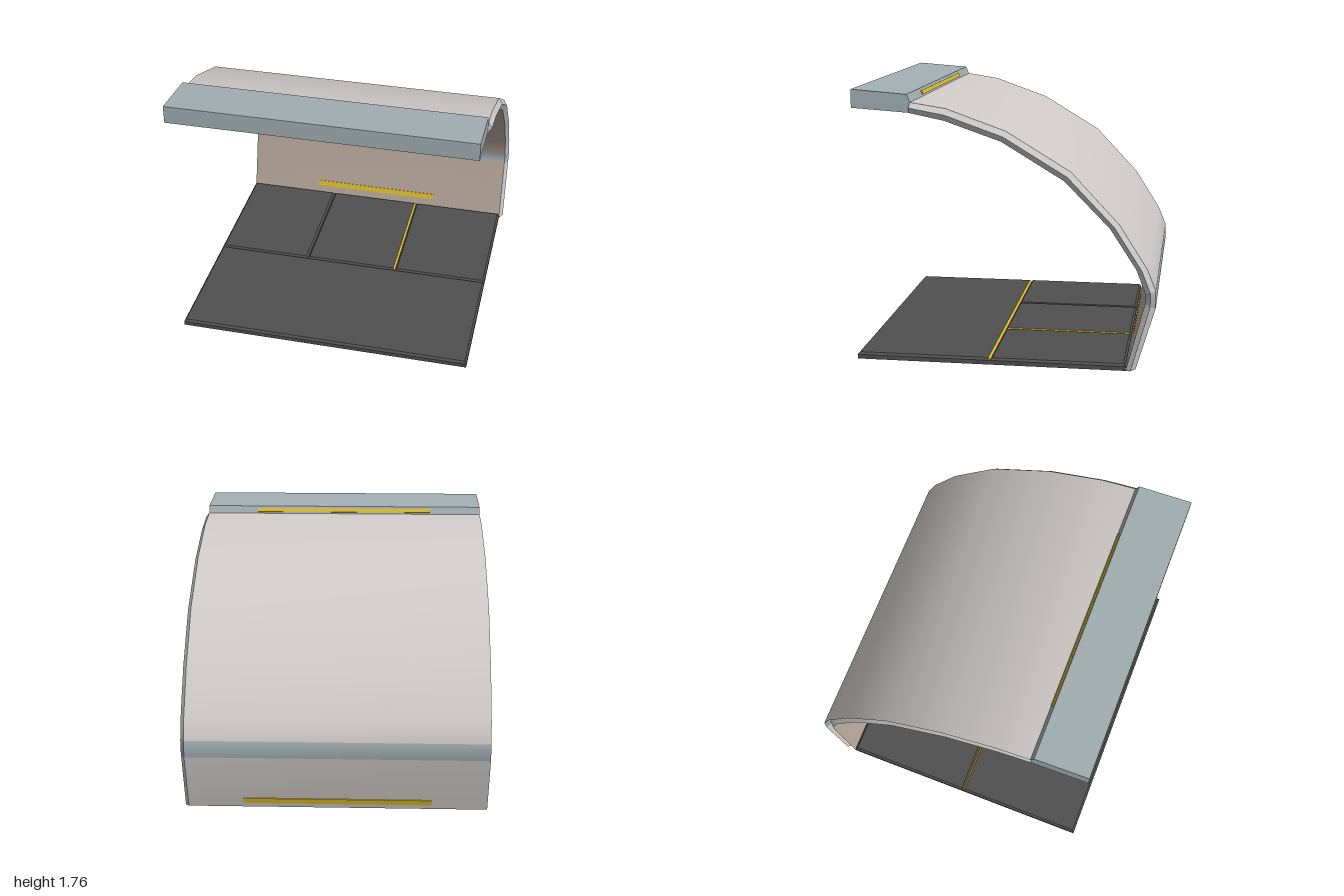
import * as THREE from 'three';

const mat = (color, side = THREE.FrontSide) => new THREE.MeshStandardMaterial({ color, side });
const outerMat = mat(0xd0cbc8);
const innerMat = mat(0xb5a699);
const edgeMat = mat(0xc2c0be, THREE.DoubleSide);
const steelMat = mat(0xa3afb3);
const floorMat = mat(0x505050);
const yellowMat = mat(0xdcbc28);

const X0 = -1, X1 = 0.975, MID = (X0 + X1) / 2;

// Shell side profile as [z, y], from the canopy down the back to the floor
const outer = [[0.585, 1.685], [0.36, 1.65], [-0.02, 1.515], [-0.425, 1.27], [-0.73, 0.945],
  [-0.907, 0.667], [-0.963, 0.53], [-0.963, 0.415], [-0.845, 0.015]];
const inner = [[0.6, 1.62], [0.375, 1.575], [0.013, 1.45], [-0.385, 1.21], [-0.67, 0.92],
  [-0.84, 0.66], [-0.897, 0.51], [-0.897, 0.445], [-0.781, 0.0]];
const middle = outer.map((p, i) => [(p[0] + inner[i][0]) / 2, (p[1] + inner[i][1]) / 2]);
const BAND = 6; // profile segment of the waist band

function addMesh(group, name, geometry, material) {
  const mesh = new THREE.Mesh(geometry, material);
  mesh.name = name;
  group.add(mesh);
  return mesh;
}

// Smooth sheet between two rows of points, split into upper, band and lower pieces
function addSheet(group, name, rowA, xA, rowB, xB, material) {
  const geo = new THREE.BufferGeometry();
  const pos = [], index = [];
  rowA.forEach((a, i) => {
    const b = rowB[i];
    pos.push(xA, a[1], a[0], xB, b[1], b[0]);
    if (i < rowA.length - 1) {
      const k = 2 * i;
      index.push(k, k + 1, k + 3, k, k + 3, k + 2);
    }
  });
  geo.setAttribute('position', new THREE.Float32BufferAttribute(pos, 3));
  geo.setIndex(index);
  geo.computeVertexNormals();
  const pieces = [['Upper', 0, BAND, material], ['Band', BAND, BAND + 1, steelMat],
    ['Lower', BAND + 1, rowA.length - 1, material]];
  for (const [suffix, from, to, m] of pieces) {
    addMesh(group, name + suffix, geo.clone().setIndex(index.slice(from * 6, to * 6)), m);
  }
}

// Closing face at one end of the shell section
function addCap(group, name, i) {
  const ring = [[X0 + 0.03, middle[i]], [X0, outer[i]], [X1, outer[i]], [1, middle[i]],
    [X1, inner[i]], [X0, inner[i]]];
  const geo = new THREE.BufferGeometry();
  geo.setAttribute('position', new THREE.Float32BufferAttribute(
    ring.flatMap(([x, p]) => [x, p[1], p[0]]), 3));
  geo.setIndex([0, 1, 2, 0, 2, 3, 0, 3, 4, 0, 4, 5]);
  addMesh(group, name, geo.toNonIndexed(), edgeMat).geometry.computeVertexNormals();
}

// Box whose top face is inset to give chamfered sides
function addPanel(group, name, x0, x1, z0, z1, yellowFace = -1) {
  const y0 = 0.028, y1 = 0.043, inset = 0.013;
  const geo = new THREE.BoxGeometry(x1 - x0, y1 - y0, z1 - z0);
  const p = geo.attributes.position;
  for (let i = 0; i < p.count; i++) {
    if (p.getY(i) > 0) {
      p.setX(i, p.getX(i) - Math.sign(p.getX(i)) * inset);
      p.setZ(i, p.getZ(i) - Math.sign(p.getZ(i)) * inset);
    }
  }
  geo.computeVertexNormals();
  const faces = Array.from({ length: 6 }, (_, i) => (i === yellowFace ? yellowMat : floorMat));
  addMesh(group, name, geo, faces).position.set((x0 + x1) / 2, (y0 + y1) / 2, (z0 + z1) / 2);
}

// Thin marker strip, tilted about x to lie on its surface
function addStrip(group, name, width, height, y, z, tilt) {
  const strip = addMesh(group, name, new THREE.BoxGeometry(width, height, 0.012), yellowMat);
  strip.position.set(MID, y, z);
  strip.rotation.x = tilt;
}

export function createModel() {
  const model = new THREE.Group();
  model.name = 'curvedWallSection';

  // Curved shell with a ridge on one end and a matching groove on the other
  const shell = new THREE.Group();
  shell.name = 'shell';
  addSheet(shell, 'outerSkin', outer, X0, outer, X1, outerMat);
  addSheet(shell, 'ridgeOuter', outer, X1, middle, 1, edgeMat);
  addSheet(shell, 'ridgeInner', middle, 1, inner, X1, edgeMat);
  addSheet(shell, 'innerSkin', inner, X1, inner, X0, innerMat);
  addSheet(shell, 'grooveInner', inner, X0, middle, X0 + 0.03, edgeMat);
  addSheet(shell, 'grooveOuter', middle, X0 + 0.03, outer, X0, edgeMat);
  addCap(shell, 'topCap', 0);
  addCap(shell, 'bottomCap', outer.length - 1);
  model.add(shell);

  // Canopy beam: side section extruded along x
  const section = new THREE.Shape([[0.965, 1.645], [0.965, 1.762], [0.607, 1.735],
    [0.585, 1.685], [0.6, 1.62]].map(([z, y]) => new THREE.Vector2(-z, y)));
  const beam = new THREE.ExtrudeGeometry(section, { depth: X1 - X0, bevelEnabled: false });
  beam.rotateY(Math.PI / 2).translate(X0, 0, 0);
  addMesh(model, 'canopyBeam', beam, steelMat);

  // Floor slab with chamfered panels
  const floor = new THREE.Group();
  floor.name = 'floor';
  const slab = addMesh(floor, 'slab', new THREE.BoxGeometry(X1 - X0, 0.028, 1.745), floorMat);
  slab.position.set(MID, 0.014, 0.0925);
  addPanel(floor, 'frontPanel', X0, X1, 0.09, 0.965, 5);
  const w = (X1 - X0) / 3;
  for (let i = 0; i < 3; i++) {
    addPanel(floor, 'backPanel', X0 + i * w, X0 + (i + 1) * w, -0.78, 0.09, i === 1 ? 0 : -1);
  }
  model.add(floor);

  // Yellow marker strips
  addStrip(model, 'innerWallStrip', 0.925, 0.04, 0.1, -0.808, -0.28);
  addStrip(model, 'outerWallStrip', 1.24, 0.04, 0.068, -0.86, -0.285);
  addStrip(model, 'beamBackStrip', 1.25, 0.026, 1.707, 0.594, 0.41);
  addStrip(model, 'beamUndersideStrip', 1.17, 0.04, 1.63, 0.75, Math.PI / 2 - 0.07);
  return model;
}
